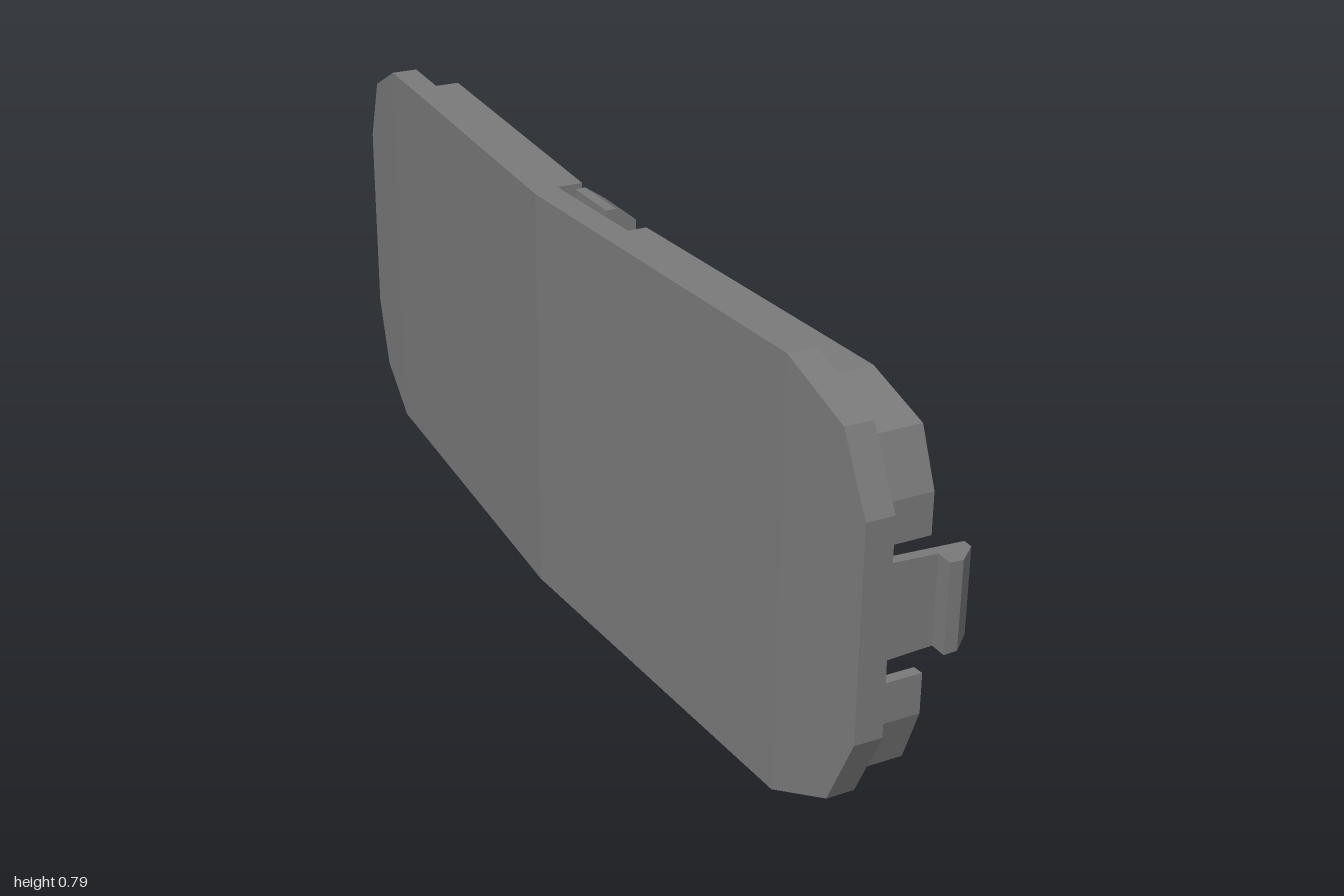
import * as THREE from 'three';

const MID = 0.3925; // half of the total height
const FACE = -0.147; // x of the outer face at the centre

// The whole cover bows gently towards +x at both ends
function bend(z) {
  const a = Math.abs(z);
  return a < 0.8 ? a * 0.05625 : 0.045 + (a - 0.8) * 0.115;
}

function shapeOf(points) {
  return new THREE.Shape(points.map(([x, y]) => new THREE.Vector2(x, y)));
}

// Bowed plate: a rectangular section at each station along z
function plateGeometry() {
  const stations = [[-1, 0.195], [-0.94, 0.3275], [-0.8, MID], [0, MID], [0.8, MID], [0.94, 0.3275], [1, 0.195]];
  const pos = [];
  const index = [];
  stations.forEach(([z, h]) => {
    const x0 = FACE + bend(z);
    const x1 = x0 + 0.052;
    pos.push(x0, MID - h, z, x1, MID - h, z, x1, MID + h, z, x0, MID + h, z);
  });
  const quad = (a, b, c, d) => index.push(a, b, c, a, c, d);
  for (let i = 0; i < stations.length - 1; i++) {
    for (let k = 0; k < 4; k++) {
      const a = i * 4 + k;
      const b = i * 4 + (k + 1) % 4;
      quad(a, b, b + 4, a + 4);
    }
  }
  const e = (stations.length - 1) * 4;
  quad(3, 2, 1, 0);
  quad(e, e + 1, e + 2, e + 3);
  const g = new THREE.BufferGeometry();
  g.setAttribute('position', new THREE.Float32BufferAttribute(pos, 3));
  g.setIndex(index);
  const flat = g.toNonIndexed();
  flat.computeVertexNormals();
  return flat;
}

// Upright rim strip between an outer and an inner line, following the bow
function rimGeometry(outer, inner, sz, sy) {
  const line = [...outer, ...inner.slice().reverse()];
  const shape = shapeOf(line.map(([z, y]) => [-z * sz, MID + (y - MID) * sy]));
  const g = new THREE.ExtrudeGeometry(shape, { depth: 0.118, bevelEnabled: false });
  g.rotateY(Math.PI / 2);
  const p = g.attributes.position;
  for (let i = 0; i < p.count; i++) p.setX(i, p.getX(i) + FACE + 0.03 + bend(p.getZ(i)));
  g.computeVertexNormals();
  return g;
}

// Profile in x and z, extruded along y and tapered towards the tip
function endClipGeometry(profile, side, half, taper) {
  const g = new THREE.ExtrudeGeometry(shapeOf(profile.map(([x, z]) => [x, -z * side])), { depth: 2, bevelEnabled: false });
  g.rotateX(-Math.PI / 2);
  const p = g.attributes.position;
  for (let i = 0; i < p.count; i++) {
    const h = half - taper * (p.getX(i) + 0.033);
    p.setY(i, MID + (p.getY(i) - 1) * h);
  }
  g.computeVertexNormals();
  return g;
}

export function createModel() {
  const model = new THREE.Group();
  model.name = 'snapOnCover';
  const grey = new THREE.MeshStandardMaterial({ color: 0x7a7a7a });
  grey.name = 'grey plastic';
  const add = (name, geometry) => {
    const mesh = new THREE.Mesh(geometry, grey);
    mesh.name = name;
    model.add(mesh);
  };

  add('coverPlate', plateGeometry());

  // Rim: one quarter line from the end clip to the centre notch
  const outer = [[0.965, 0.515], [0.965, 0.59], [0.93, 0.69], [0.81, 0.74], [0.13, 0.74], [0.13, 0.62], [0, 0.62]];
  const inner = [[0.945, 0.515], [0.945, 0.585], [0.915, 0.675], [0.8, 0.72], [0.16, 0.72], [0.16, 0.59], [0, 0.59]];
  for (const sz of [1, -1]) {
    for (const sy of [1, -1]) {
      if (sz === -1 && sy === -1) {
        // Small drain gap in one lower quarter
        add('rimCorner', rimGeometry([...outer.slice(0, 4), [0.75, 0.74]], [...inner.slice(0, 4), [0.75, 0.72]], sz, sy));
        add('rimNotch', rimGeometry([[0.65, 0.74], ...outer.slice(4)], [[0.65, 0.72], ...inner.slice(4)], sz, sy));
      } else {
        add('rimQuarter', rimGeometry(outer, inner, sz, sy));
      }
    }
  }

  // Hooked clips and their small ribs at both ends
  const hook = [[-0.06, 0.938], [0.147, 0.938], [0.147, 0.957], [0.11, 0.99], [0.085, 0.99], [0.085, 0.958], [-0.06, 0.958]];
  const rib = [[-0.06, 0.94], [-0.06, 0.9], [-0.01, 0.9], [0.015, 0.94]];
  for (const side of [1, -1]) {
    add('endClip', endClipGeometry(hook, side, 0.088, 0.05));
    add('endClipRib', endClipGeometry(rib, side, 0.014, 0));
  }

  // Short hooked clips inside the upper and lower notches
  const latch = [[-0.11, 0.71], [0.022, 0.71], [0.022, 0.73], [-0.018, 0.757], [-0.038, 0.757], [-0.038, 0.73], [-0.11, 0.73]];
  for (const sy of [1, -1]) {
    const shape = shapeOf(latch.map(([x, y]) => [x, MID + (y - MID) * sy]));
    const g = new THREE.ExtrudeGeometry(shape, { depth: 0.126, bevelEnabled: false });
    g.translate(0, 0, -0.063);
    add('notchClip', g);
  }
  return model;
}
